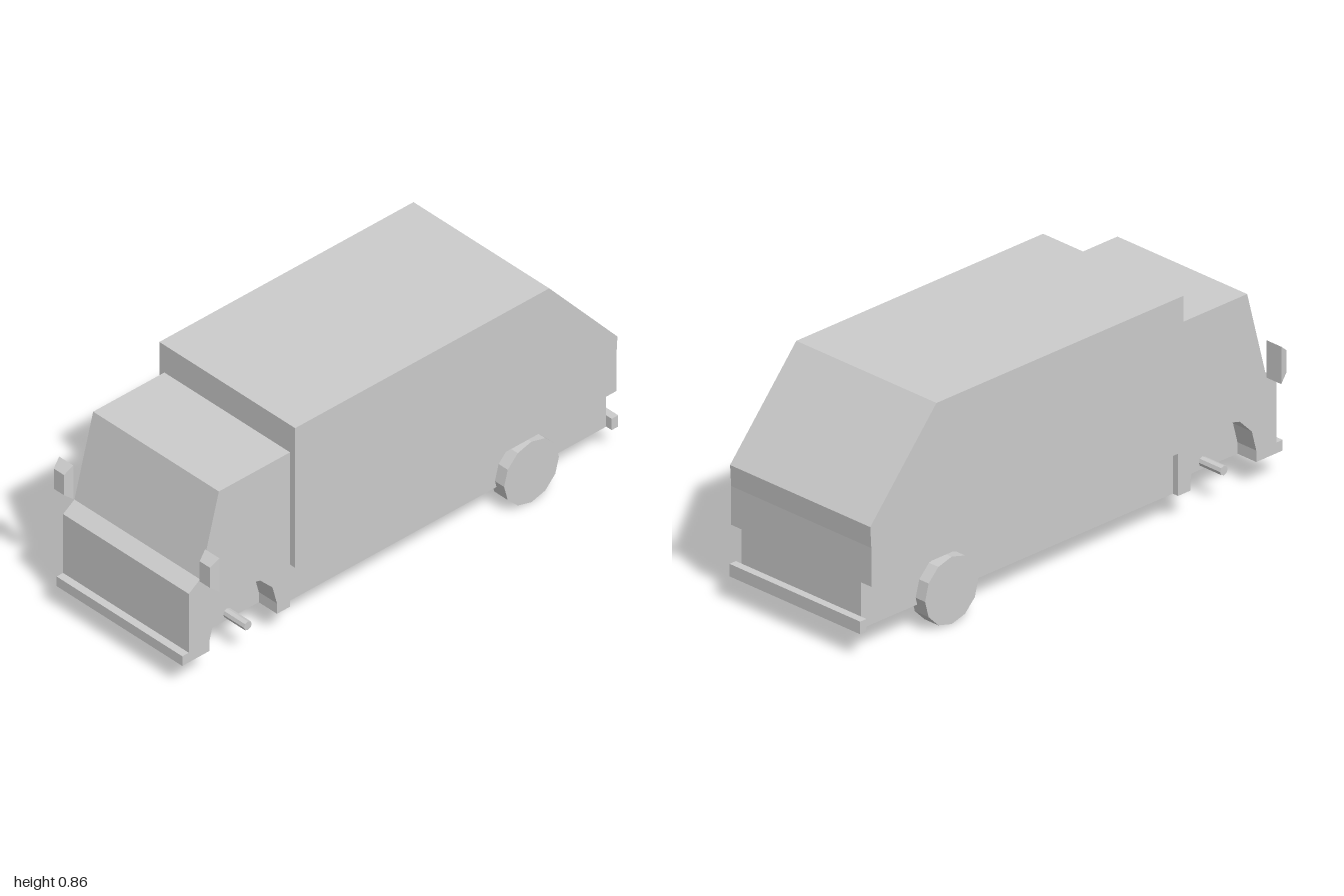
import * as THREE from 'three';

const grey = new THREE.MeshStandardMaterial({ color: 0xcccccc, flatShading: true });

function add(parent, name, geometry) {
  const mesh = new THREE.Mesh(geometry, grey);
  mesh.name = name;
  parent.add(mesh);
  return mesh;
}

// Side profile given as [z, y] points, extruded across the width from x0 to x1
function sideExtrude(points, x0, x1) {
  const shape = new THREE.Shape(points.map(([z, y]) => new THREE.Vector2(z, y)));
  const g = new THREE.ExtrudeGeometry(shape, { depth: x1 - x0, bevelEnabled: false });
  return g.rotateY(-Math.PI / 2).translate(x1, 0, 0);
}

// Box between two corners
function block(x0, x1, y0, y1, z0, z1) {
  return new THREE.BoxGeometry(x1 - x0, y1 - y0, z1 - z0)
    .translate((x0 + x1) / 2, (y0 + y1) / 2, (z0 + z1) / 2);
}

// Mirror housing: a box whose front face is narrowed
function mirrorGeometry() {
  const g = new THREE.BoxGeometry(0.07, 0.14, 0.034);
  const p = g.attributes.position;
  for (let i = 0; i < p.count; i++) {
    if (p.getZ(i) > 0) p.setXY(i, p.getX(i) * 0.72, p.getY(i) * 0.6);
  }
  g.computeVertexNormals();
  return g;
}

export function createModel() {
  const model = new THREE.Group();
  model.name = 'van';

  // Cab: solid core plus outer side slabs with the front wheel arches cut out
  const cab = new THREE.Group();
  cab.name = 'cab';
  model.add(cab);
  const upper = [[0.97, 0.1], [0.97, 0.385], [0.918, 0.42], [0.832, 0.743], [0.505, 0.743], [0.505, 0.1]];
  const arch = [[0.565, 0.1]];
  for (let i = 0; i <= 6; i++) {
    const a = Math.PI * (1 - i / 6);
    arch.push([0.72 + 0.155 * Math.cos(a), 0.143 + 0.155 * Math.sin(a)]);
  }
  arch.push([0.875, 0.1]);
  const wall = 0.22;
  add(cab, 'cabCore', sideExtrude(upper, -wall, wall));
  add(cab, 'cabSideLeft', sideExtrude([...upper, ...arch], wall, 0.31));
  add(cab, 'cabSideRight', sideExtrude([...upper, ...arch], -0.31, -wall));

  // Cargo body with sloping tail, over a narrower lower body
  add(model, 'cargoBody', sideExtrude(
    [[0.505, 0.275], [0.505, 0.857], [-0.662, 0.857], [-0.975, 0.5], [-0.97, 0.42], [-0.97, 0.275]],
    -0.335, 0.335));
  add(model, 'lowerBody', block(-0.285, 0.285, 0.1, 0.275, -0.97, 0.505));

  // Bumpers
  add(model, 'frontBumper', block(-0.31, 0.31, 0.1, 0.14, 0.97, 1));
  add(model, 'rearBumper', block(-0.312, 0.312, 0.1, 0.147, -1, -0.97));

  // Paired parts
  for (const [side, s] of [['Left', 1], ['Right', -1]]) {
    const wheel = add(model, 'rearWheel' + side,
      new THREE.CylinderGeometry(0.126, 0.126, 0.066, 12)
        .rotateY(Math.PI / 2).rotateZ(Math.PI / 2));
    wheel.position.set(s * 0.297, 0.128, -0.585);

    const axle = add(model, 'frontAxle' + side,
      new THREE.CylinderGeometry(0.018, 0.018, 0.104, 8).rotateZ(Math.PI / 2));
    axle.position.set(s * 0.27, 0.129, 0.71);

    const mirror = add(model, 'wingMirror' + side, mirrorGeometry());
    mirror.position.set(s * 0.36, 0.479, 0.926);
  }
  return model;
}
